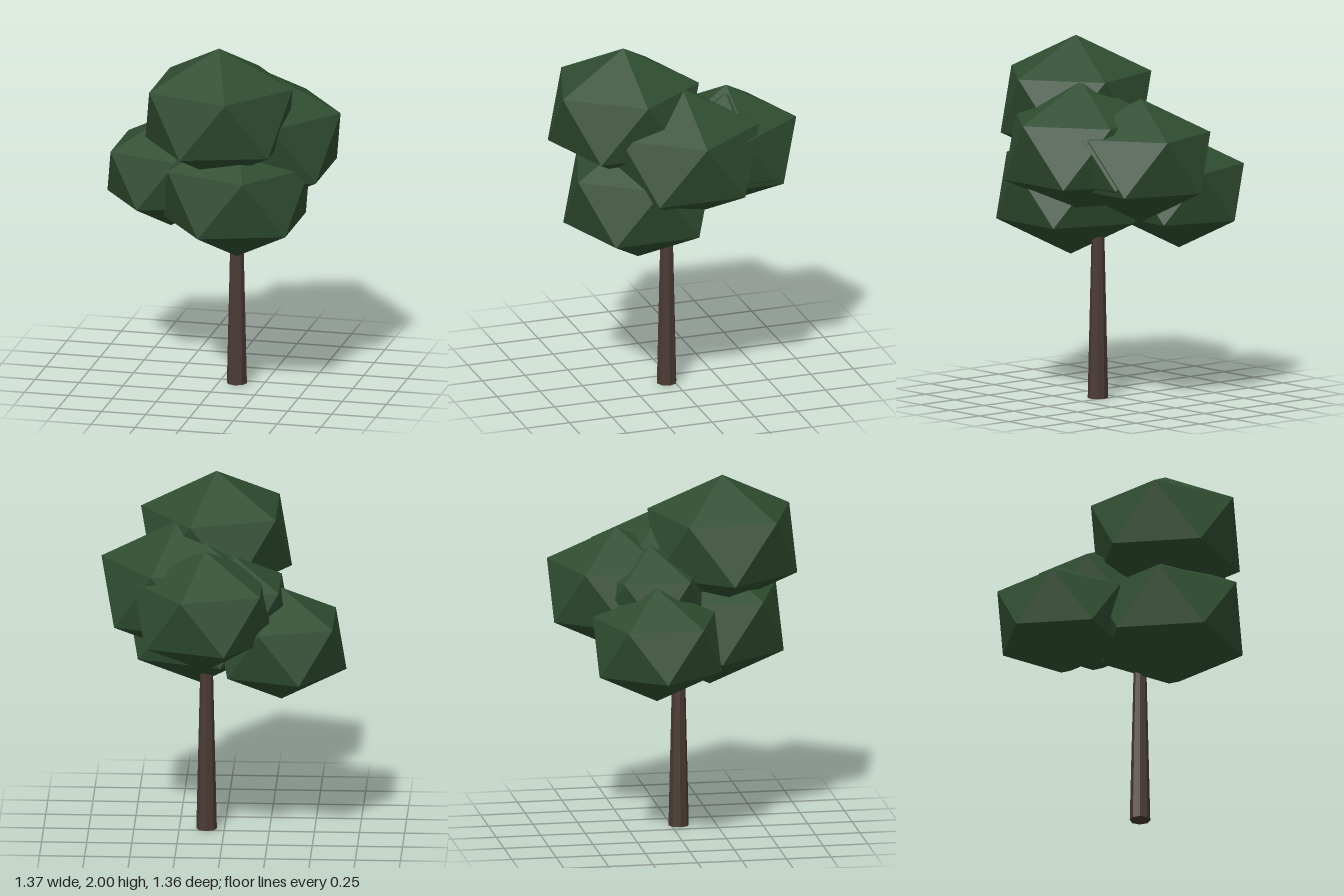
import * as THREE from 'three';

const leafGreen = new THREE.MeshStandardMaterial({ color: 0x2f4d30, flatShading: true });
leafGreen.name = 'leafGreen';
const barkBrown = new THREE.MeshStandardMaterial({ color: 0x4a3a34, flatShading: true });
barkBrown.name = 'barkBrown';

// Twenty-sided ball of radius 1 standing on a corner, upper ring starting at +x
function createClumpGeometry() {
  const height = 1 / Math.sqrt(5), ring = 2 / Math.sqrt(5);
  const points = [0, 1, 0, 0, -1, 0];
  const faces = [];
  for (let i = 0; i < 5; i++) {
    const a = (i * Math.PI * 2) / 5, b = a + Math.PI / 5;
    points.push(ring * Math.cos(a), height, ring * Math.sin(a));
    points.push(ring * Math.cos(b), -height, ring * Math.sin(b));
    const upper = 2 + 2 * i, lower = upper + 1;
    const nextUpper = 2 + 2 * ((i + 1) % 5), nextLower = nextUpper + 1;
    faces.push(0, nextUpper, upper, upper, nextUpper, lower);
    faces.push(lower, nextUpper, nextLower, 1, lower, nextLower);
  }
  const indexed = new THREE.BufferGeometry();
  indexed.setAttribute('position', new THREE.Float32BufferAttribute(points, 3));
  indexed.setIndex(faces);
  const geometry = indexed.toNonIndexed();
  geometry.computeVertexNormals();
  return geometry;
}

export function createModel() {
  const tree = new THREE.Group();
  tree.name = 'tree';

  // Tapered trunk, running up into the leaves
  const trunk = new THREE.Mesh(new THREE.CylinderGeometry(0.029, 0.057, 1.2, 8), barkBrown);
  trunk.name = 'trunk';
  trunk.position.set(0.099, 0.6, 0.042);
  tree.add(trunk);

  // Slightly flattened leaf clumps: name, centre x, y, z, radius
  const clumps = [
    ['topClump', 0.055, 1.627, 0.28, 0.468],
    ['frontClump', 0.142, 1.16, 0.224, 0.463],
    ['leftClump', 0.255, 1.42, 0.003, 0.475],
    ['rightClump', -0.325, 1.145, -0.153, 0.403],
    ['backClump', 0.09, 1.375, -0.311, 0.433],
    ['innerRightClump', -0.063, 1.363, -0.148, 0.352],
    ['innerBackClump', 0.15, 1.391, -0.286, 0.38],
  ];
  const clumpGeometry = createClumpGeometry();
  const crown = new THREE.Group();
  crown.name = 'crown';
  for (const [name, x, y, z, radius] of clumps) {
    const clump = new THREE.Mesh(clumpGeometry, leafGreen);
    clump.name = name;
    clump.position.set(x, y, z);
    clump.scale.set(radius, radius * 0.8, radius);
    crown.add(clump);
  }
  tree.add(crown);
  return tree;
}
